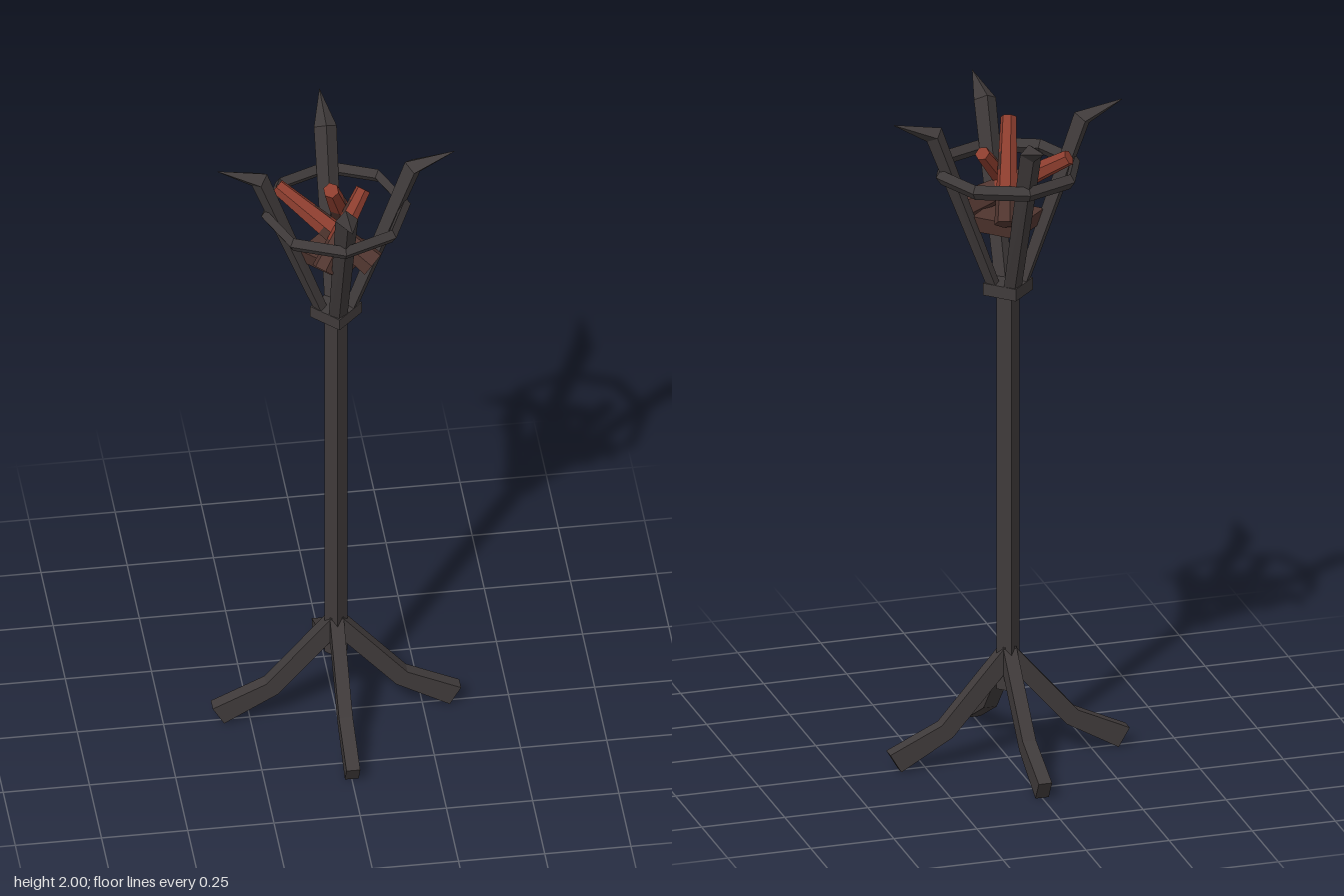
import * as THREE from 'three';

const mat = (name, color, flatShading = true) => {
  const m = new THREE.MeshStandardMaterial({ color, flatShading });
  m.name = name;
  return m;
};

export function createModel() {
  const group = new THREE.Group();
  const iron = mat('darkIron', 0x3f3a3a);
  const char = mat('charredWood', 0x50352f);
  const ember = mat('glowingEmber', 0x8c3d2e);

  const add = (name, geometry, material, parent = group) => {
    const mesh = new THREE.Mesh(geometry, material);
    mesh.name = name;
    parent.add(mesh);
    return mesh;
  };

  // Four-sided post with its corners on the axes
  const post = (name, rTop, rBottom, y0, y1, material) => {
    const mesh = add(name, new THREE.CylinderGeometry(rTop, rBottom, y1 - y0, 4), material);
    mesh.position.y = (y0 + y1) / 2;
  };
  post('pole', 0.034, 0.034, 0.22, 1.46, iron);
  post('collar', 0.075, 0.075, 1.443, 1.48, iron);
  post('coalBed', 0.108, 0.09, 1.64, 1.69, char);

  // Bent flat leg, drawn from the side and extruded
  const legShape = new THREE.Shape([
    [0, 0.37], [0, 0.29], [0.172, 0.093], [0.327, 0.004], [0.36, 0.06], [0.205, 0.133],
  ].map(([x, y]) => new THREE.Vector2(x, y)));
  const legGeo = new THREE.ExtrudeGeometry(legShape, { depth: 0.04, bevelEnabled: false });
  legGeo.translate(0, 0, -0.02);

  // Prong: diamond sections [x, y, normal x, normal y, half width] ending in a point
  const sections = [
    [0.04, 1.46, 0.018, -0.006, 0.027],
    [0.222, 1.957, 0.022, -0.019, 0.033],
    [0.343, 2.0, 0.0005, -0.001, 0.0005],
  ];
  const pos = [], index = [];
  sections.forEach(([x, y, nx, ny, w]) => {
    pos.push(x + nx, y + ny, 0, x, y, w, x - nx, y - ny, 0, x, y, -w);
  });
  for (let s = 0; s < sections.length - 1; s++) {
    for (let i = 0; i < 4; i++) {
      const a = s * 4 + i, b = s * 4 + (i + 1) % 4;
      index.push(b, a, a + 4, b, a + 4, b + 4);
    }
  }
  index.push(0, 1, 2, 0, 2, 3);
  const prongGeo = new THREE.BufferGeometry();
  prongGeo.setAttribute('position', new THREE.Float32BufferAttribute(pos, 3));
  prongGeo.setIndex(index);
  prongGeo.computeVertexNormals();

  for (let i = 0; i < 4; i++) {
    add('leg', legGeo, iron).rotation.y = i * Math.PI / 2;
    add('prong', prongGeo, iron).rotation.y = i * Math.PI / 2;
  }

  // Octagonal hoop around the prongs
  const hoopGeo = new THREE.TorusGeometry(0.202, 0.015, 4, 8);
  hoopGeo.rotateX(Math.PI / 2);
  hoopGeo.scale(1, 1.5, 1);
  add('hoop', hoopGeo, iron).position.y = 1.823;

  // Tapered logs: charred at the foot, ember red above with a few charred patches
  const log = (foot, tip, rFoot, rTip) => {
    const a = new THREE.Vector3(...foot), b = new THREE.Vector3(...tip);
    const sides = 6, rows = 6;
    const geo = new THREE.CylinderGeometry(rTip, rFoot, a.distanceTo(b), sides, rows);
    geo.clearGroups();
    for (let s = 0; s < sides; s++) {
      for (let r = 0; r < rows; r++) {
        const charred = r >= 4 || (r > 0 && (s * 3 + r * 2) % 7 === 0);
        geo.addGroup((s * rows + r) * 6, 6, charred ? 1 : 0);
      }
    }
    geo.addGroup(sides * rows * 6, sides * 3, 0);
    geo.addGroup(sides * rows * 6 + sides * 3, sides * 3, 1);
    const mesh = add('log', geo, [ember, char]);
    mesh.position.copy(a).add(b).multiplyScalar(0.5);
    mesh.quaternion.setFromUnitVectors(new THREE.Vector3(0, 1, 0), b.sub(a).normalize());
  };
  log([0.095, 1.69, 0.095], [-0.16, 1.87, -0.075], 0.042, 0.023);
  log([0.04, 1.7, -0.11], [-0.025, 1.955, 0.075], 0.035, 0.023);
  log([-0.055, 1.7, 0.115], [0.08, 1.885, -0.008], 0.033, 0.022);

  return group;
}
